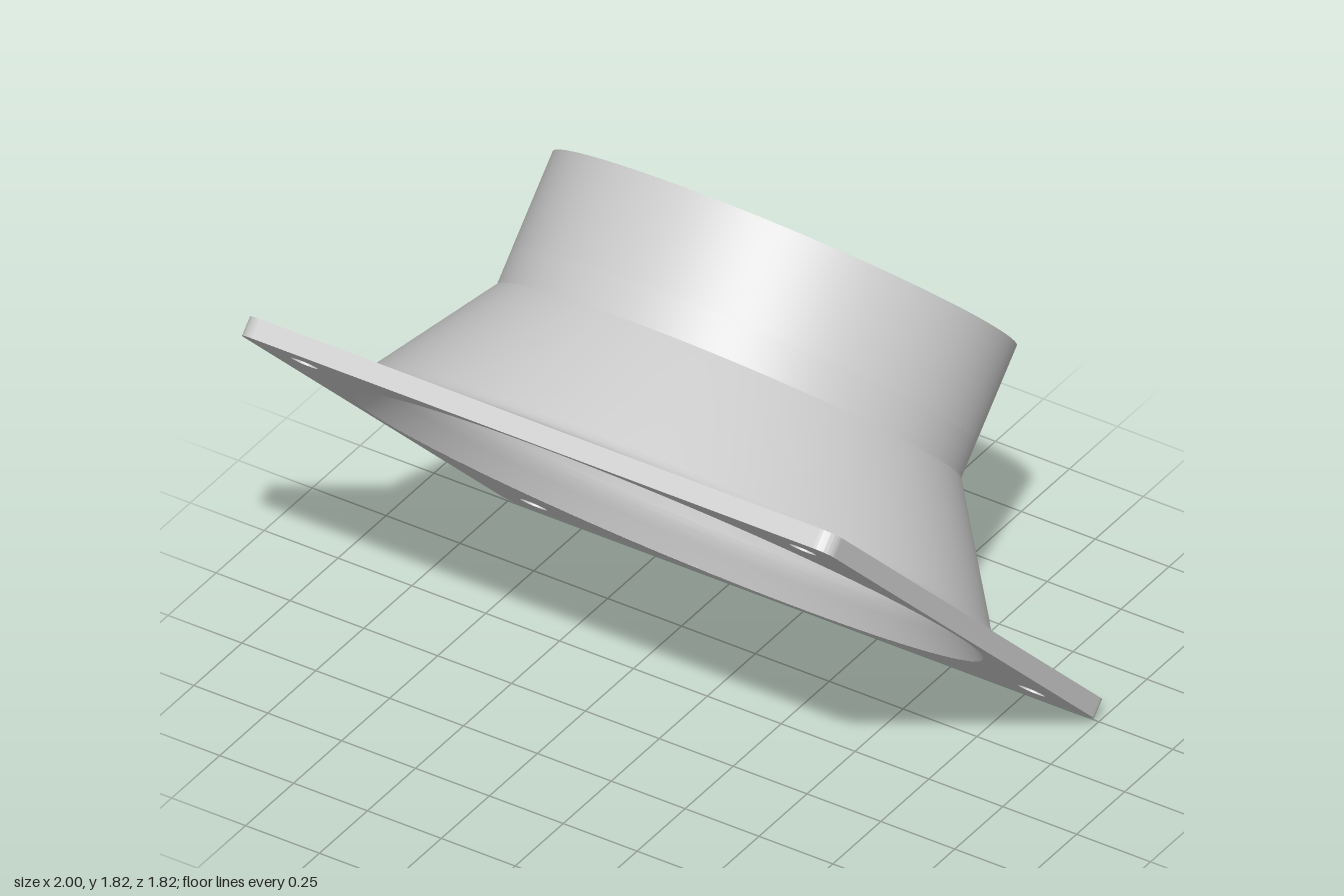
import * as THREE from 'three';
import { toCreasedNormals } from 'three/addons/utils/BufferGeometryUtils.js';

const material = new THREE.MeshStandardMaterial({ color: 0xcccccc });
const FLOOR = 0.56, TOP = 0.86; // groove floor and rim heights along the duct axis
const GAP = 0.13;               // half angle of the wall panel that carries the pin hole

function part(name, geometry) {
  const mesh = new THREE.Mesh(toCreasedNormals(geometry, 0.2), material);
  mesh.name = name;
  return mesh;
}

function circleHole(x, y, r) {
  const hole = new THREE.Path();
  hole.absarc(x, y, r, 0, Math.PI * 2, true);
  return hole;
}

// Square mounting plate with rounded corners and screw holes
function plateGeometry() {
  const s = new THREE.Shape(), r = 0.05, a = 1 - r;
  s.absarc(a, a, r, 0, Math.PI / 2);
  s.absarc(-a, a, r, Math.PI / 2, Math.PI);
  s.absarc(-a, -a, r, Math.PI, Math.PI * 1.5);
  s.absarc(a, -a, r, Math.PI * 1.5, Math.PI * 2);
  s.holes.push(circleHole(0, 0, 0.97));
  for (const x of [-0.843, 0.843])
    for (const y of [-0.843, 0.843]) s.holes.push(circleHole(x, y, 0.042));
  const g = new THREE.ExtrudeGeometry(s, { depth: 0.06, bevelEnabled: false, curveSegments: 48 });
  return g.rotateX(-Math.PI / 2);
}

// Funnel: outer cone and collar, groove floor, inner throat, chamfered mouth
function funnelGeometry() {
  const p = new THREE.Path();
  p.moveTo(0.998, 0.06);
  p.quadraticCurveTo(0.968, 0.061, 0.946, 0.104);
  p.lineTo(0.714, 0.45);
  p.lineTo(0.714, FLOOR);
  p.lineTo(0.56, FLOOR);
  p.quadraticCurveTo(0.56, 0.5, 0.645, 0.43);
  p.lineTo(0.76, 0.32);
  p.lineTo(0.875, 0.12);
  p.quadraticCurveTo(0.885, 0.09, 0.925, 0.05);
  p.lineTo(0.97, 0);
  return new THREE.LatheGeometry(p.getPoints(10), 128);
}

// Ring wall, open over a small angle at the back
function wallGeometry(inner, outer) {
  const pts = [[outer, FLOOR], [outer, TOP], [inner, TOP], [inner, FLOOR]]
    .map(([r, y]) => new THREE.Vector2(r, y));
  return new THREE.LatheGeometry(pts, 120, Math.PI + GAP, Math.PI * 2 - GAP * 2);
}

// Panel with the pin hole, bent to close the opening in a ring wall
function holePanelGeometry(inner, outer) {
  const mid = (inner + outer) / 2, half = GAP * mid, n = 6, pts = [];
  for (let i = 0; i <= n; i++) pts.push(new THREE.Vector2(-half + 2 * half * i / n, FLOOR));
  for (let i = n; i >= 0; i--) pts.push(new THREE.Vector2(-half + 2 * half * i / n, TOP));
  const s = new THREE.Shape(pts);
  s.holes.push(circleHole(0, 0.715, 0.036));
  const g = new THREE.ExtrudeGeometry(s, { depth: outer - inner, bevelEnabled: false, curveSegments: 20 });
  const pos = g.attributes.position;
  for (let i = 0; i < pos.count; i++) {
    const angle = Math.PI + pos.getX(i) / mid, r = inner + pos.getZ(i);
    pos.setXYZ(i, r * Math.sin(angle), pos.getY(i), r * Math.cos(angle));
  }
  return g;
}

export function createModel() {
  const model = new THREE.Group();
  model.name = 'ductAdapter';

  // Everything is built along the duct axis, then tilted back by 45 degrees
  const tilted = new THREE.Group();
  tilted.name = 'tiltedBody';
  tilted.rotation.x = -Math.PI / 4;
  tilted.position.set(0, 0.707, 0.205);
  model.add(tilted);

  tilted.add(part('mountingPlate', plateGeometry()));
  tilted.add(part('funnel', funnelGeometry()));

  // Two concentric walls with a groove between them
  for (const [name, inner, outer] of [['outerCollar', 0.67, 0.714], ['innerCollar', 0.56, 0.6]]) {
    tilted.add(part(name, wallGeometry(inner, outer)));
    tilted.add(part(name + 'HolePanel', holePanelGeometry(inner, outer)));
  }

  // Key bridging the groove
  const key = part('grooveKey', new THREE.BoxGeometry(0.085, TOP - 0.01 - FLOOR, 0.09));
  key.position.set(0, (TOP - 0.01 + FLOOR) / 2, 0.635);
  tilted.add(key);

  return model;
}
